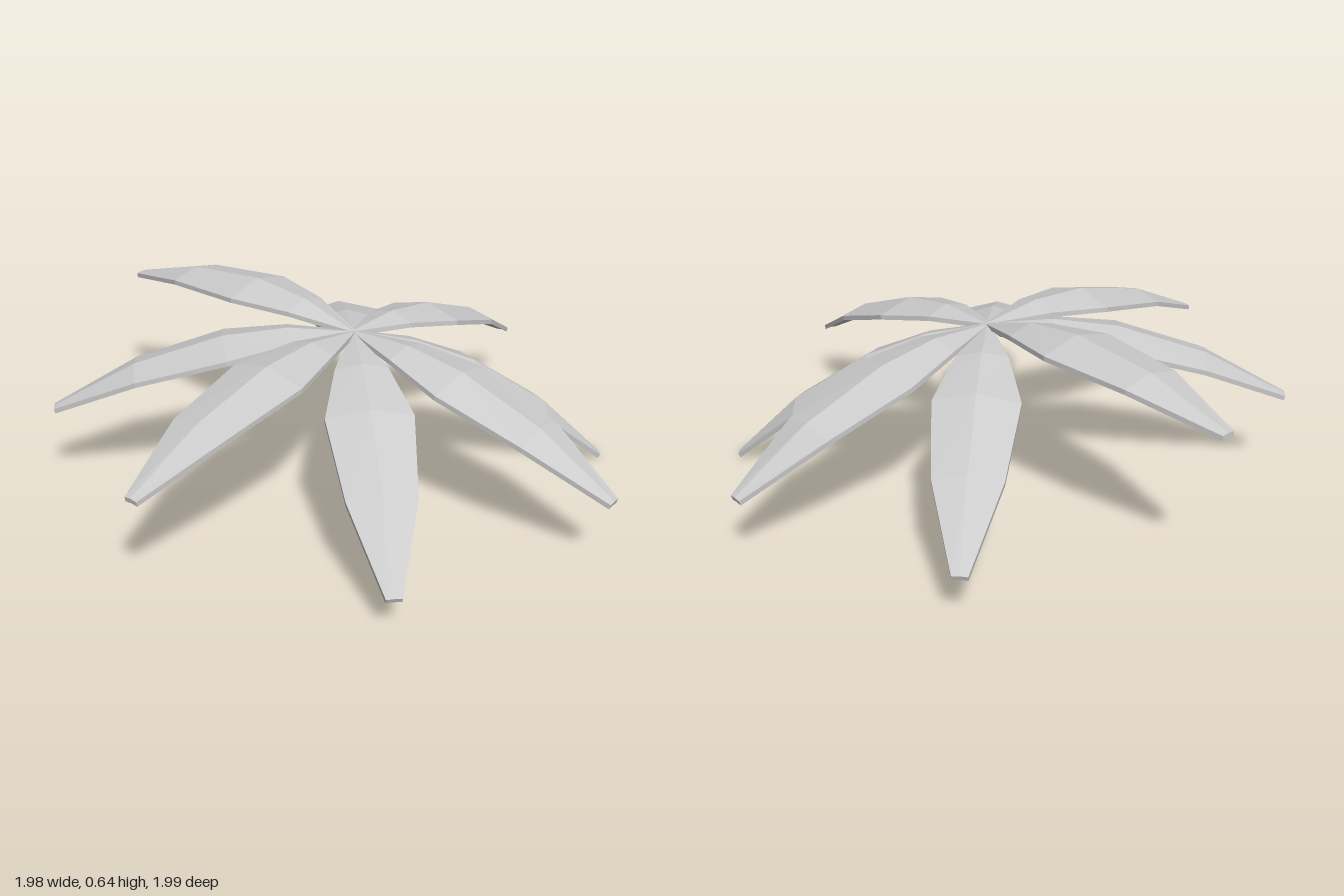
import * as THREE from 'three';

// Leaf stations: [distance along leaf, ridge height, half width, drop from ridge to edge]
const STATIONS = [
  [0, 0, 0.008, 0],
  [0.22, 0.07, 0.09, 0.025],
  [0.445, 0.097, 0.145, 0.036],
  [0.765, 0.072, 0.112, 0.024],
  [1.073, -0.012, 0.025, 0.003],
];
const THICKNESS = 0.017;
const HUB = new THREE.Vector3(0.045, 0.55, 0.005);

// One arched, folded leaf pointing along +x
function leafGeometry() {
  const positions = [];
  const index = [];
  for (const [s, h, w, drop] of STATIONS) {
    const t = THICKNESS;
    positions.push(
      s, h - drop, -w, s, h, 0, s, h - drop, w,
      s, h - drop - t, w, s, h - t, 0, s, h - drop - t, -w,
    );
  }
  const quad = (a, b, c, d) => index.push(a, b, c, a, c, d);
  for (let i = 0; i < STATIONS.length - 1; i++) {
    for (let k = 0; k < 6; k++) {
      const a = i * 6 + k;
      const b = i * 6 + ((k + 1) % 6);
      quad(a, b, b + 6, a + 6);
    }
  }
  // Base and tip caps
  quad(5, 4, 1, 0);
  quad(4, 3, 2, 1);
  const e = (STATIONS.length - 1) * 6;
  quad(e, e + 1, e + 4, e + 5);
  quad(e + 1, e + 2, e + 3, e + 4);

  const indexed = new THREE.BufferGeometry();
  indexed.setAttribute('position', new THREE.Float32BufferAttribute(positions, 3));
  indexed.setIndex(index);
  const geometry = indexed.toNonIndexed();
  geometry.computeVertexNormals();
  return geometry;
}

export function createModel() {
  const model = new THREE.Group();
  model.name = 'palmCrown';
  const material = new THREE.MeshStandardMaterial({ color: 0xcccccc, flatShading: true });
  const geometry = leafGeometry();

  // Height of each leaf tip, every 45 degrees from +x towards +z
  const tipHeights = [0.018, 0.25, 0.125, 0.37, 0.318, 0.527, 0.163, 0.235];
  const [tipS, tipH] = STATIONS[STATIONS.length - 1];
  const length = Math.hypot(tipS, tipH);
  const restAngle = Math.atan2(tipH, tipS);

  tipHeights.forEach((tipY, i) => {
    const leaf = new THREE.Mesh(geometry, material);
    leaf.name = `leaf${i + 1}`;
    leaf.position.copy(HUB);
    // Tilt the leaf first, then turn it round the crown
    leaf.rotation.order = 'YZX';
    leaf.rotation.z = Math.asin((tipY - HUB.y) / length) - restAngle;
    leaf.rotation.y = -i * Math.PI / 4;
    model.add(leaf);
  });
  return model;
}
